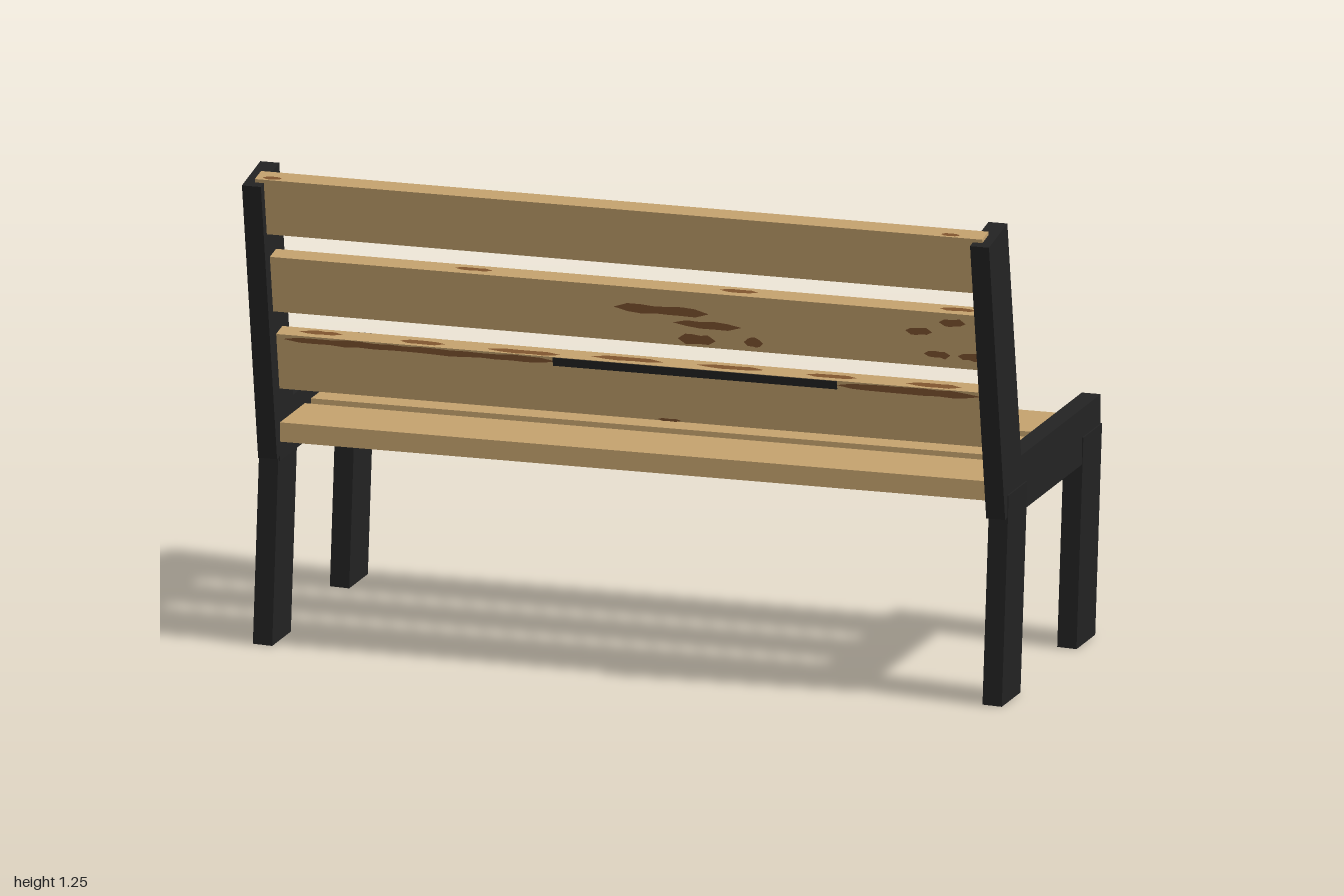
import * as THREE from 'three';

const wood = new THREE.MeshStandardMaterial({ name: 'tan wood', color: 0xc4a26e });
const rust = new THREE.MeshStandardMaterial({ name: 'brown stain', color: 0x80552f });
const iron = new THREE.MeshStandardMaterial({ name: 'black iron', color: 0x232323 });

const TILT = THREE.MathUtils.degToRad(10);
const LENGTH = 1.92, WIDTH = 0.15, THICK = 0.05;

function box(name, size, position, material, rotation = [0, 0, 0]) {
  const mesh = new THREE.Mesh(new THREE.BoxGeometry(...size), material);
  mesh.name = name;
  mesh.position.set(...position);
  mesh.rotation.set(...rotation);
  return mesh;
}

// small seeded generator for the ragged stains
function makeRandom(seed) {
  return () => {
    seed = (seed * 16807) % 2147483647;
    return seed / 2147483647;
  };
}

// ragged elongated patch, tapered at both ends
function stainGeometry(length, height, rand) {
  const n = Math.max(5, Math.ceil(length / 0.04));
  const lower = [], upper = [];
  for (let i = 0; i <= n; i++) {
    const t = (i / n) * 2 - 1;
    const half = (height / 2) * Math.sqrt(1 - t ** 6);
    lower.push(new THREE.Vector2((t * length) / 2, -half * (0.6 + 0.4 * rand()) - 0.0005));
    upper.unshift(new THREE.Vector2((t * length) / 2, half * (0.6 + 0.4 * rand())));
  }
  return new THREE.ShapeGeometry(new THREE.Shape([...lower, ...upper]));
}

// put a stain on one face of a slat: u runs along x, v across the face
function addStain(slat, face, rand, u, v, length, height) {
  const mesh = new THREE.Mesh(stainGeometry(length, height, rand), rust);
  mesh.name = face + 'Stain';
  const lift = THICK / 2 + 0.0015;
  if (face === 'top') {
    mesh.position.set(u, WIDTH / 2 + 0.0015, v);
    mesh.rotation.x = -Math.PI / 2;
  } else {
    mesh.position.set(u, v, face === 'rear' ? lift : -lift);
    if (face === 'seatSide') mesh.rotation.y = Math.PI;
  }
  slat.add(mesh);
}

// bottom board: long wandering stain on the seat side, worn rear top edge
function stainLower(slat, rand) {
  for (let i = 0; i < 7; i++) {
    const u = 0.8 - i * 0.27;
    addStain(slat, 'seatSide', rand, u, -0.028 - i * 0.003, 0.32, 0.068 - i * 0.004);
    addStain(slat, 'top', rand, u, 0.012 * rand(), 0.1 + 0.1 * rand(), 0.025);
  }
  addStain(slat, 'rear', rand, -0.55, 0.064, 0.72, 0.02);
  addStain(slat, 'rear', rand, 0.74, 0.064, 0.38, 0.02);
  addStain(slat, 'rear', rand, 0.1, -0.071, 0.06, 0.008);
  slat.add(box('darkStrip', [0.75, 0.022, 0.003], [0.175, 0.063, 0.0255], iron));
}

// middle board: row of patches on the seat side, two clusters on the rear
function stainMiddle(slat, rand) {
  for (const [u, length] of [[0.51, 0.44], [0.12, 0.26], [-0.26, 0.12], [-0.65, 0.2]]) {
    addStain(slat, 'seatSide', rand, u, -0.018, length, 0.044);
  }
  addStain(slat, 'rear', rand, 0.1, 0.018, 0.25, 0.03);
  addStain(slat, 'rear', rand, 0.22, -0.012, 0.18, 0.022);
  addStain(slat, 'rear', rand, 0.19, -0.055, 0.1, 0.032);
  addStain(slat, 'rear', rand, 0.34, -0.05, 0.05, 0.028);
  for (let i = 0; i < 4; i++) {
    addStain(slat, 'rear', rand, 0.78 + i * 0.045, i % 2 ? -0.04 : 0.02 + i * 0.015, 0.07, 0.024);
  }
  for (const u of [-0.4, 0.3, 0.88]) addStain(slat, 'top', rand, u, 0, 0.1, 0.022);
}

// top board: scattered small spots on the seat side, marks at both ends
function stainUpper(slat, rand) {
  for (const [u, v] of [[0.66, 0.045], [0.58, 0.015], [0.27, 0.06], [-0.1, 0.04], [-0.1, -0.05], [-0.23, 0.025]]) {
    addStain(slat, 'seatSide', rand, u, v, 0.045, 0.022);
  }
  addStain(slat, 'seatSide', rand, -0.62, 0.045, 0.2, 0.028);
  for (const u of [-0.91, 0.88]) addStain(slat, 'top', rand, u, 0.014, 0.05, 0.018);
}

// iron side: seat rail, leaning upright and two slightly tilted legs
function createSide(name, x, frontLegX, backLegX) {
  const group = new THREE.Group();
  group.name = name;
  group.add(box('seatRail', [0.05, 0.145, 0.745], [x, 0.5525, -0.0725], iron));
  group.add(box('backUpright', [0.05, 0.75, 0.15], [x, 0.872, 0.3135], iron, [TILT, 0, 0]));
  group.add(box('frontLeg', [0.051, 0.55, 0.15], [frontLegX, 0.2757, -0.37], iron, [0, 0, -0.033]));
  group.add(box('backLeg', [0.051, 0.55, 0.15], [backLegX, 0.2757, 0.23], iron, [0, 0, -0.033]));
  return group;
}

export function createModel() {
  const bench = new THREE.Group();
  bench.name = 'bench';
  bench.add(createSide('leftFrame', 0.967, 0.961, 0.961));
  bench.add(createSide('rightFrame', -0.955, -0.959, -0.965));

  // seat boards
  for (let i = 0; i < 3; i++) {
    bench.add(box('seatSlat' + (i + 1), [LENGTH, 0.05, 0.2], [0.007, 0.555, -0.3 + i * 0.25], wood));
  }

  // leaning backrest boards, bottom to top
  [stainLower, stainMiddle, stainUpper].forEach((stain, i) => {
    const slat = new THREE.Group();
    slat.name = 'backSlat' + (i + 1);
    slat.position.set(0, 0.747 + i * 0.2125, 0.292 + i * 0.0505);
    slat.rotation.x = TILT;
    slat.add(box('board', [LENGTH, WIDTH, THICK], [0.007, 0, 0], wood));
    stain(slat, makeRandom(7 + i));
    bench.add(slat);
  });
  return bench;
}
